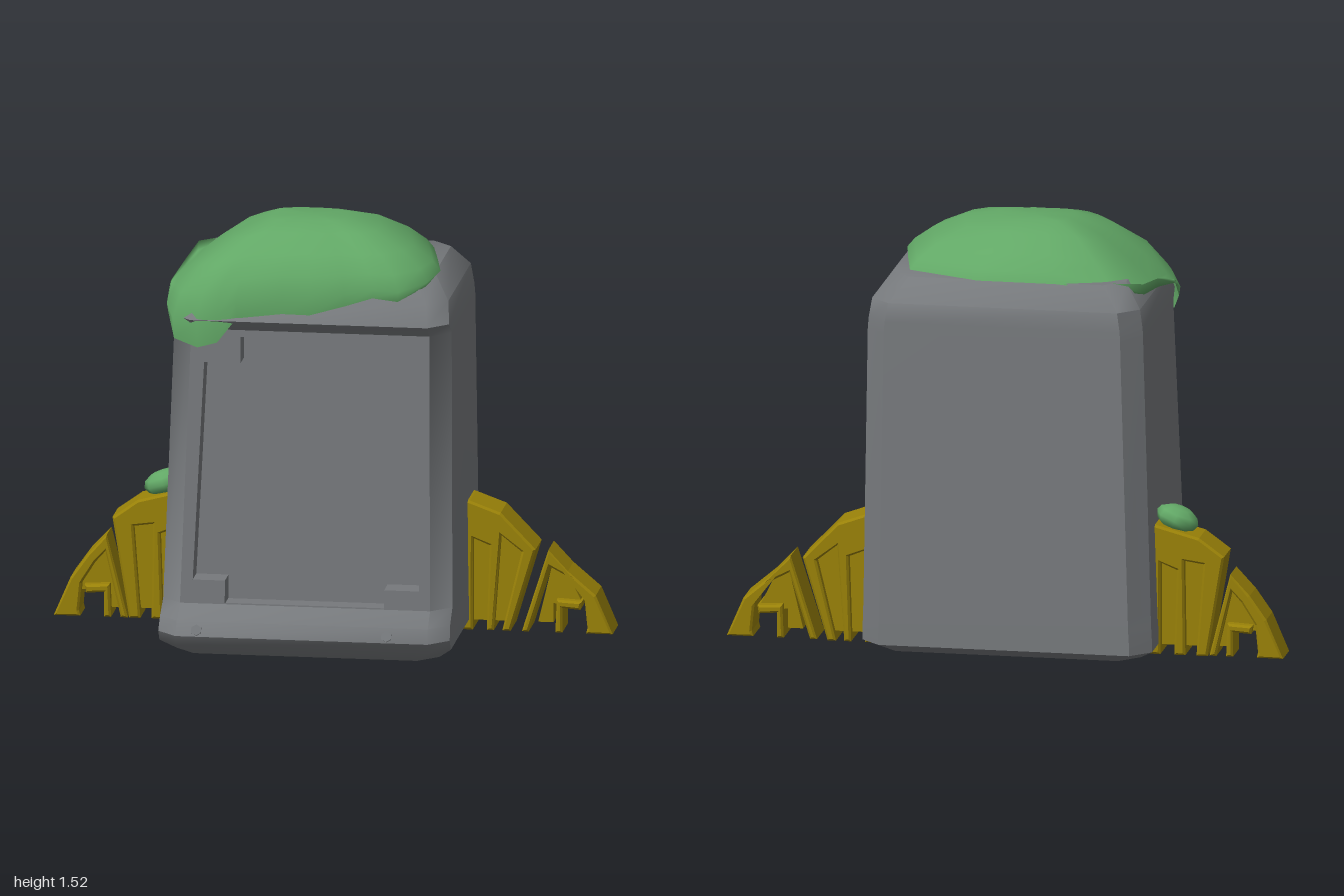
import * as THREE from 'three';
import { toCreasedNormals } from 'three/addons/utils/BufferGeometryUtils.js';

const mat = (color) => new THREE.MeshStandardMaterial({ color, side: THREE.DoubleSide });
const GREY = mat(0x76797c), GOLD = mat(0x9a8208), GREEN = mat(0x62a866);

function mesh(name, geometry, material, parent) {
  const m = new THREE.Mesh(geometry, material);
  m.name = name;
  parent.add(m);
  return m;
}

// Joins rings of [x, y, z] points, ordered counter-clockwise from above, bottom to top
function loft(rings, skip = () => false, cap = false) {
  const n = rings[0].length, index = [];
  for (let i = 0; i < rings.length - 1; i++)
    for (let j = 0; j < n; j++) {
      if (skip(i, j)) continue;
      const k = (j + 1) % n, a = i * n + j, b = i * n + k;
      index.push(a, b, b + n, a, b + n, a + n);
    }
  const last = (rings.length - 1) * n;
  if (cap) for (let j = 1; j < n - 1; j++) index.push(last, last + j, last + j + 1);
  const g = new THREE.BufferGeometry();
  g.setAttribute('position', new THREE.Float32BufferAttribute(rings.flat(2), 3));
  g.setIndex(index);
  g.computeVertexNormals();
  return g;
}

const shapeOf = (pts) => new THREE.Shape(pts.map(([x, y]) => new THREE.Vector2(x, y)));

// Depth of the sloping front face at height y
const frontZ = (y) => 0.36 - 0.05 * (y - 0.18) / 0.99;

function slopedFace(shape, inset) {
  const g = new THREE.ShapeGeometry(shape), p = g.attributes.position;
  for (let i = 0; i < p.count; i++) p.setZ(i, frontZ(p.getY(i)) - inset);
  g.computeVertexNormals();
  return g;
}

function makeBody() {
  const body = new THREE.Group();
  body.name = 'body';
  const c = 0.07;
  // y, x min, x max, z back, z front
  const levels = [
    [0, -0.5, 0.44, -0.37, 0.37],
    [0.04, -0.555, 0.488, -0.45, 0.42],
    [0.08, -0.555, 0.488, -0.449, 0.45],
    [0.13, -0.552, 0.486, -0.448, 0.425],
    [0.18, -0.55, 0.485, -0.446, 0.36],
    [1.17, -0.517, 0.475, -0.415, 0.31],
    [1.21, -0.515, 0.472, -0.413, 0.35],
    [1.28, -0.505, 0.46, -0.41, 0.29],
    [1.36, -0.44, 0.4, -0.33, 0.2],
  ];
  const rings = levels.map(([y, x0, x1, z0, z1]) => [
    [x0 + c, y, z1], [x1 - c, y, z1], [x1, y, z1 - c], [x1, y, z0 + c],
    [x1 - c, y, z0], [x0 + c, y, z0], [x0, y, z0 + c], [x0, y, z1 - c],
  ]);
  const shell = loft(rings, (i, j) => i === 4 && j === 0, true);
  mesh('shell', toCreasedNormals(shell, 0.75), GREY, body);

  // Front frame around a recess with square corner tabs
  const opening = [
    [-0.32, 0.18], [0.25, 0.18], [0.25, 0.25], [0.375, 0.25], [0.375, 1.04], [0.25, 1.04],
    [0.25, 1.145], [-0.27, 1.145], [-0.27, 1.05], [-0.4, 1.05], [-0.435, 0.265], [-0.32, 0.265],
  ];
  const frame = shapeOf([[-0.48, 0.18], [0.415, 0.18], [0.405, 1.17], [-0.447, 1.17]]);
  frame.holes.push(shapeOf(opening.map(([x, y]) => [x, Math.max(y, 0.185)])));
  mesh('frontFrame', slopedFace(frame, 0), GREY, body);
  const depth = 0.09;
  mesh('recessPanel', slopedFace(shapeOf(opening), depth), GREY, body);
  const walls = loft([depth, 0].map((d) => opening.map(([x, y]) => [x, y, frontZ(y) - d]).reverse()));
  mesh('recessWalls', toCreasedNormals(walls, 0.5), GREY, body);

  // Bolts on the bottom lip
  for (const x of [-0.41, 0.27]) {
    const bolt = mesh('bolt', new THREE.CylinderGeometry(0.02, 0.02, 0.02, 6), GREY, body);
    bolt.rotation.x = Math.PI / 2 - 0.4;
    bolt.position.set(x, 0.1, 0.438);
  }
  return body;
}

// Slotted frame with a thinner web behind the slots; bevel eases the edges
function legSegment(name, outline, web, z0, z1, parent) {
  const seg = new THREE.Group();
  seg.name = name;
  const slab = (part, pts, a, b, bevel) => {
    const g = new THREE.ExtrudeGeometry(shapeOf(pts), {
      depth: b - a - 2 * bevel, bevelEnabled: bevel > 0, bevelSize: bevel,
      bevelThickness: bevel, bevelOffset: -bevel, bevelSegments: 1,
    });
    g.translate(0, 0, a + bevel);
    mesh(part, g, GOLD, seg);
  };
  slab('legFrame', outline, z0, z1, 0.008);
  slab('legWeb', web, z0 + 0.035, z1 - 0.035, 0);
  parent.add(seg);
}

function makeLeg(side) {
  const leg = new THREE.Group();
  leg.name = side > 0 ? 'leftLeg' : 'rightLeg';
  const left = side > 0;
  const shift = left ? 0.06 : 0; // the body sits slightly off centre
  const map = (pts) => pts.map(([x, y]) => [side * (x - shift), y]);
  const inner = [
    [0.5, 0.48], [0.55, 0.47], [0.7, 0.43], [0.79, 0.365], [0.73, 0], [0.69, 0], [0.715, 0.335], [0.645, 0.345],
    [0.65, 0], [0.61, 0], [0.62, 0.31], [0.56, 0.335], [0.56, 0], [0.5, 0],
  ];
  if (left) { inner[2] = [0.66, 0.43]; inner[3] = [0.785, 0.3]; inner[4] = [0.695, 0]; inner[5] = [0.665, 0]; inner[6] = [0.735, 0.29]; inner[7] = [0.66, 0.35]; inner[8] = [0.635, 0]; }
  const innerWeb = [[0.52, 0.44], [0.64, 0.42], [0.75, 0.29], [0.69, 0.03], [0.52, 0.03]];
  legSegment('innerSegment', map(inner), map(innerWeb), left ? -0.27 : -0.25, -0.105, leg);

  // The outer segments reach x = 1 and x = -1
  const outer = [
    [1, 0], [0.94, 0.14], [0.88, 0.225], [0.81, 0.3], [0.77, 0.31], [0.735, 0],
    [0.755, 0], [0.79, 0.17], [0.82, 0.255], [0.85, 0.22], [0.905, 0.12],
    [0.885, 0.085], [0.82, 0.09], [0.82, 0], [0.79, 0], [0.795, 0.115], [0.9, 0.115], [0.93, 0.07], [0.92, 0],
  ];
  const arch = [
    [1, 0], [0.94, 0.14], [0.88, 0.225], [0.81, 0.3], [0.735, 0], [0.76, 0],
    [0.815, 0.24], [0.85, 0.2], [0.9, 0.12], [0.91, 0.02], [0.905, 0],
  ];
  const outerWeb = [[0.92, 0.11], [0.87, 0.21], [0.82, 0.26], [0.765, 0.03], [0.82, 0.03], [0.82, 0.1], [0.91, 0.09]];
  const flip = (pts) => pts.map(([x, y]) => [side * x, y]);
  // Right-hand and left-hand outer segments share the simple arched frame
  legSegment('outerSegment', flip(left ? arch.map(([x, y]) => [x < 0.83 && x > 0.7 && y < 0.1 ? x - 0.06 : x - (y > 0.2 ? 0.04 : 0), y]) : arch),
    flip(outerWeb.map(([x, y]) => [left ? x - 0.035 : x, y])), left ? -0.26 : -0.24, -0.105, leg);
  // Short middle toe and crossbar under the arch
  const toe = [outer[11], outer[12], [0.82, 0], [0.795, 0], [0.8, 0.12], [0.89, 0.115]];
  legSegment('toe', flip(toe), flip([[0.81, 0.02], [0.81, 0.1], [0.805, 0.1], [0.805, 0.02]]), left ? -0.26 : -0.24, -0.105, leg);
  return leg;
}

// Soft cap draped over the top, hanging lower at the front right corner
function makeMoss() {
  const rim = [
    [-0.5, 1.35, -0.25], [-0.4, 1.36, -0.3], [-0.2, 1.36, -0.34], [0.08, 1.36, -0.34],
    [0.34, 1.36, -0.23], [0.38, 1.36, -0.05], [0.41, 1.36, 0.1], [0.38, 1.33, 0.22],
    [0.29, 1.29, 0.3], [0.2, 1.3, 0.3], [0.1, 1.27, 0.315], [-0.02, 1.24, 0.34], [-0.12, 1.24, 0.335],
    [-0.28, 1.22, 0.34], [-0.35, 1.13, 0.345], [-0.42, 1.11, 0.345], [-0.51, 1.13, 0.3],
    [-0.545, 1.2, 0.2], [-0.55, 1.29, 0.08], [-0.52, 1.33, -0.08],
  ].reverse();
  const cx = -0.06, cz = 0;
  // plan scale, target height, blend from the rim height
  const steps = [[1, 1.36, 0], [1.01, 1.36, 0.5], [0.95, 1.4, 0.85], [0.8, 1.445, 1], [0.55, 1.5, 1], [0.28, 1.525, 1], [0.001, 1.525, 1]];
  const rings = steps.map(([s, top, blend]) => rim.map(([x, y, z]) => {
    const px = cx + (x - cx) * s, pz = cz + (z - cz) * s;
    const drop = 0.27 * Math.max(0, -px - 0.2);
    return [px, y + (top - drop - y) * blend, pz];
  }));
  return loft(rings);
}

export function createModel() {
  const model = new THREE.Group();
  model.name = 'model';
  model.add(makeBody(), makeLeg(1), makeLeg(-1));
  mesh('mossCap', makeMoss(), GREEN, model);
  // Small tuft on the right leg
  const tuft = mesh('mossTuft', new THREE.SphereGeometry(1, 8, 6), GREEN, model);
  tuft.scale.set(0.08, 0.045, 0.065);
  tuft.rotation.z = 0.35;
  tuft.position.set(-0.61, 0.485, -0.18);
  return model;
}
